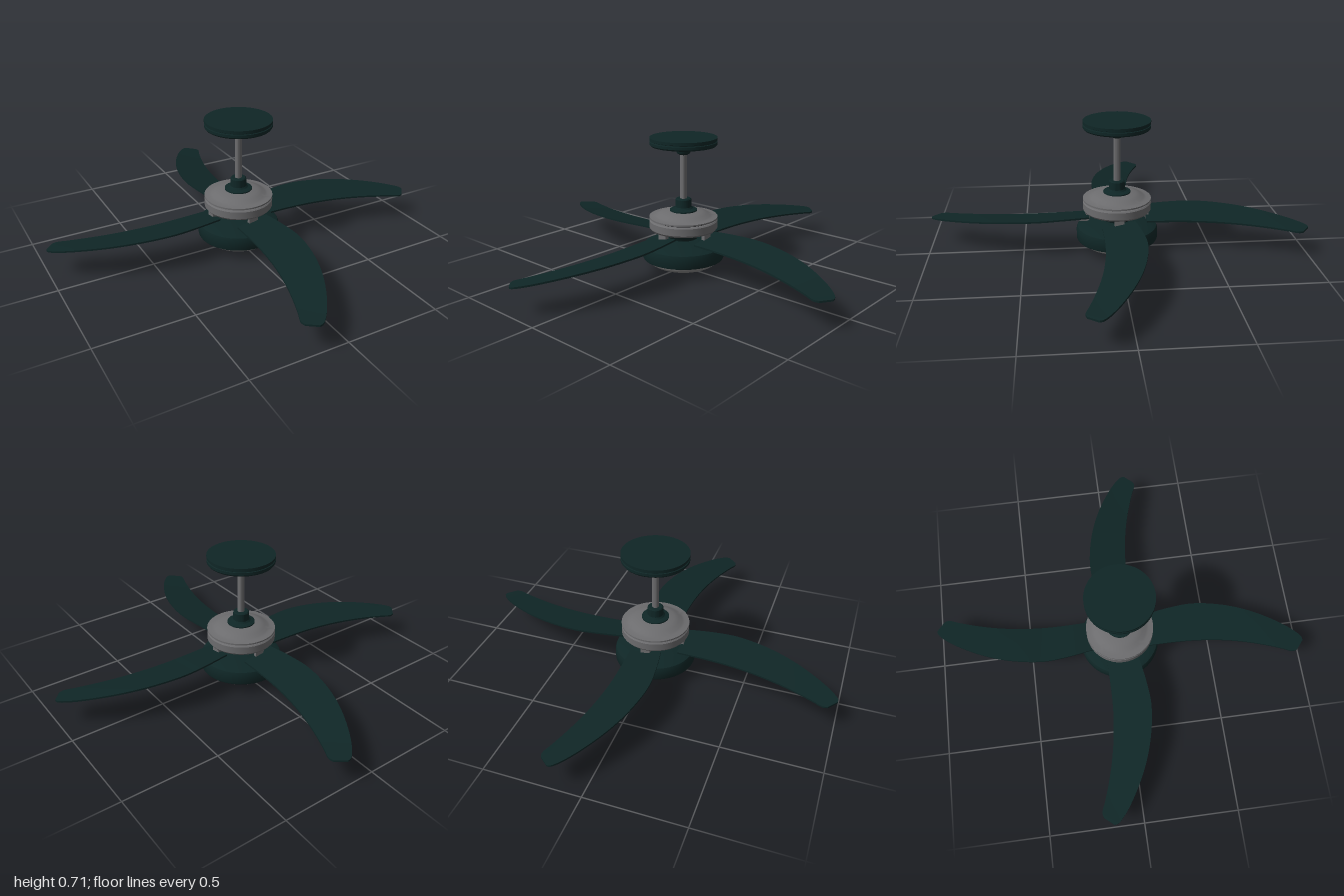
import * as THREE from 'three';
import { toCreasedNormals } from 'three/addons/utils/BufferGeometryUtils.js';

const mat = (name, color) => Object.assign(new THREE.MeshStandardMaterial({ color }), { name });

export function createModel() {
  const green = mat('dark green paint', 0x0f2626);
  const grey = mat('brushed metal', 0x6c6c6e);
  const glass = mat('frosted glass', 0x858585);
  const dark = mat('shadow seam', 0x1c1c1e);

  const fan = new THREE.Group();
  fan.name = 'ceilingFan';

  const add = (name, geometry, material, parent = fan) => {
    const mesh = new THREE.Mesh(geometry, material);
    mesh.name = name;
    parent.add(mesh);
    return mesh;
  };
  // Turned part from [radius, height] pairs, listed bottom to top
  const turn = (name, material, profile) => add(name, toCreasedNormals(
    new THREE.LatheGeometry(profile.map(([r, y]) => new THREE.Vector2(r, y)), 56), 0.5), material);

  // Ceiling mount and down rod
  turn('canopy', green, [[0, 0.652], [0.06, 0.652], [0.13, 0.658], [0.17, 0.667], [0.175, 0.674],
    [0.175, 0.688], [0.171, 0.69], [0.171, 0.694], [0.175, 0.696], [0.175, 0.71], [0, 0.71]]);
  turn('canopyCollar', green, [[0, 0.618], [0.022, 0.618], [0.034, 0.626], [0.04, 0.64], [0.04, 0.655]]);
  turn('downRod', grey, [[0.018, 0.37], [0.018, 0.63]]);
  turn('rodCoupler', green, [[0.072, 0.312], [0.072, 0.325], [0.05, 0.332], [0.043, 0.34],
    [0.041, 0.38], [0.036, 0.385], [0, 0.385]]);

  // Motor housing with a recessed seam under its lid
  turn('motorHousing', grey, [[0, 0.214], [0.15, 0.214], [0.172, 0.22], [0.18, 0.23], [0.18, 0.268],
    [0.174, 0.274], [0.16, 0.275]]);
  turn('motorSeam', dark, [[0.165, 0.272], [0.165, 0.284]]);
  turn('motorLid', grey, [[0.16, 0.281], [0.18, 0.281], [0.18, 0.289], [0.155, 0.291], [0.142, 0.295],
    [0.125, 0.306], [0.1, 0.315], [0.06, 0.321], [0, 0.321]]);

  // Light kit
  turn('lightNeck', green, [[0.07, 0.155], [0.074, 0.172], [0.09, 0.195], [0.105, 0.208], [0.105, 0.216]]);
  turn('lightShade', green, [[0.185, 0.075], [0.19, 0.063], [0.213, 0.063], [0.216, 0.07], [0.216, 0.118],
    [0.21, 0.133], [0.19, 0.143], [0.15, 0.153], [0.1, 0.165], [0.06, 0.169], [0, 0.169]]);
  const bowl = [[0.192, 0.075]];
  for (let i = 0; i <= 10; i++) {
    const a = (i / 10) * Math.PI / 2;
    bowl.unshift([0.192 * Math.cos(a), 0.06 * (1 - Math.sin(a))]);
  }
  turn('glassBowl', glass, bowl);

  // Swept blade: a slab stretched between two edge curves, drooping and pitched
  const edge = (pts) => new THREE.CatmullRomCurve3(pts.map(([x, z]) => new THREE.Vector3(x, 0, z)));
  const back = edge([[0.15, -0.082], [0.28, -0.103], [0.42, -0.113], [0.58, -0.088], [0.72, -0.042],
    [0.85, 0.024], [0.95, 0.092], [0.995, 0.138], [0.999, 0.158]]);
  const front = edge([[0.15, 0.088], [0.28, 0.086], [0.42, 0.09], [0.56, 0.106], [0.68, 0.13],
    [0.79, 0.161], [0.88, 0.192], [0.933, 0.212], [0.958, 0.207]]);
  const pitch = 0.18;
  const bladeGeo = new THREE.BoxGeometry(1, 1, 1, 40, 1, 8);
  const pos = bladeGeo.attributes.position;
  for (let i = 0; i < pos.count; i++) {
    const u = pos.getX(i) + 0.5, v = pos.getZ(i) + 0.5;
    const b = back.getPoint(u), f = front.getPoint(u);
    const p = b.clone().lerp(f, v);
    const droop = 0.192 - 0.053 * Math.pow(Math.max(0, p.x - 0.15) / 0.85, 2.1);
    const tilt = pitch * (0.5 - v) * (f.z - b.z);
    pos.setXYZ(i, p.x, droop + tilt + pos.getY(i) * 0.009, p.z);
  }
  bladeGeo.computeVertexNormals();

  // Bent bracket strap from the motor's underside out to the blade
  const strap = new THREE.Shape();
  strap.moveTo(0.12, 0.218);
  strap.lineTo(0.146, 0.218);
  strap.lineTo(0.146, 0.184);
  strap.quadraticCurveTo(0.147, 0.168, 0.164, 0.168);
  strap.lineTo(0.2, 0.17);
  strap.lineTo(0.2, 0.182);
  strap.lineTo(0.174, 0.182);
  strap.quadraticCurveTo(0.166, 0.183, 0.166, 0.194);
  strap.lineTo(0.166, 0.222);
  strap.lineTo(0.12, 0.222);
  const strapGeo = new THREE.ExtrudeGeometry(strap, { depth: 0.05, bevelEnabled: false, curveSegments: 6 });
  strapGeo.translate(0, 0, -0.025);

  for (let k = 0; k < 4; k++) {
    const arm = new THREE.Group();
    arm.name = 'bladeArm' + (k + 1);
    arm.rotation.y = k * Math.PI / 2;
    add('blade', bladeGeo, green, arm);
    add('bracketStrap', strapGeo, grey, arm);
    const plate = add('bracketPlate', new THREE.BoxGeometry(0.11, 0.014, 0.06), grey, arm);
    plate.position.set(0.23, 0.18, 0);
    plate.rotation.x = pitch;
    fan.add(arm);
  }
  return fan;
}
